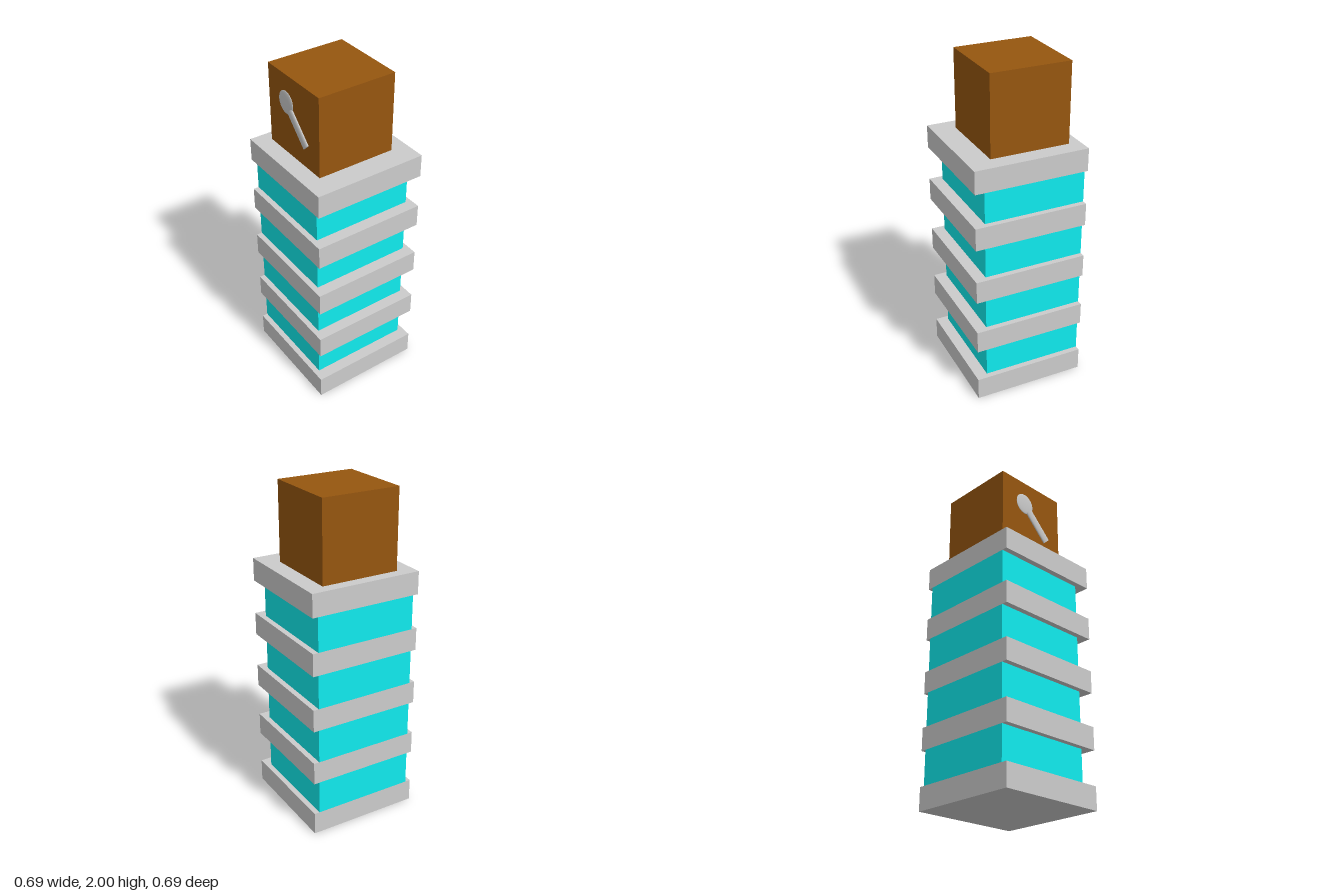
import * as THREE from 'three';

const mat = (color) => new THREE.MeshStandardMaterial({ color });

export function createModel() {
  const model = new THREE.Group();
  const grey = mat(0xcccccc);
  const cyan = mat(0x10ebee);
  const brown = mat(0x96560f);

  const add = (name, geometry, material, x, y, z) => {
    const mesh = new THREE.Mesh(geometry, material);
    mesh.name = name;
    mesh.position.set(x, y, z);
    model.add(mesh);
    return mesh;
  };

  // Floor slabs with glazed storeys between them, flush on the right side
  const pitch = 0.3455, slabH = 0.138, half = 0.344;
  const slab = new THREE.BoxGeometry(half * 2, slabH, half * 2);
  const storeyH = pitch - slabH;
  const storey = new THREE.BoxGeometry(0.617, storeyH, 0.62);
  for (let i = 0; i < 5; i++) {
    add('floorSlab' + i, slab, grey, 0, i * pitch + slabH / 2, 0);
    if (i < 4) add('glassStorey' + i, storey, cyan, -0.0355, i * pitch + slabH + storeyH / 2, 0);
  }

  // Roof block
  add('roofBlock', new THREE.BoxGeometry(0.481, 0.48, 0.482), brown, -0.0355, 1.76, 0);

  // Emblem on the front of the block: flattened ball and a diagonal handle
  const ball = add('emblemBall', new THREE.SphereGeometry(0.068, 32, 16), grey, -0.097, 1.84, 0.247);
  ball.scale.z = 0.1;
  const handle = add('emblemHandle', new THREE.CylinderGeometry(0.03, 0.03, 0.213, 24), grey, 0.0135, 1.727, 0.247);
  handle.scale.z = 0.3;
  handle.rotation.z = Math.PI / 4;

  return model;
}
